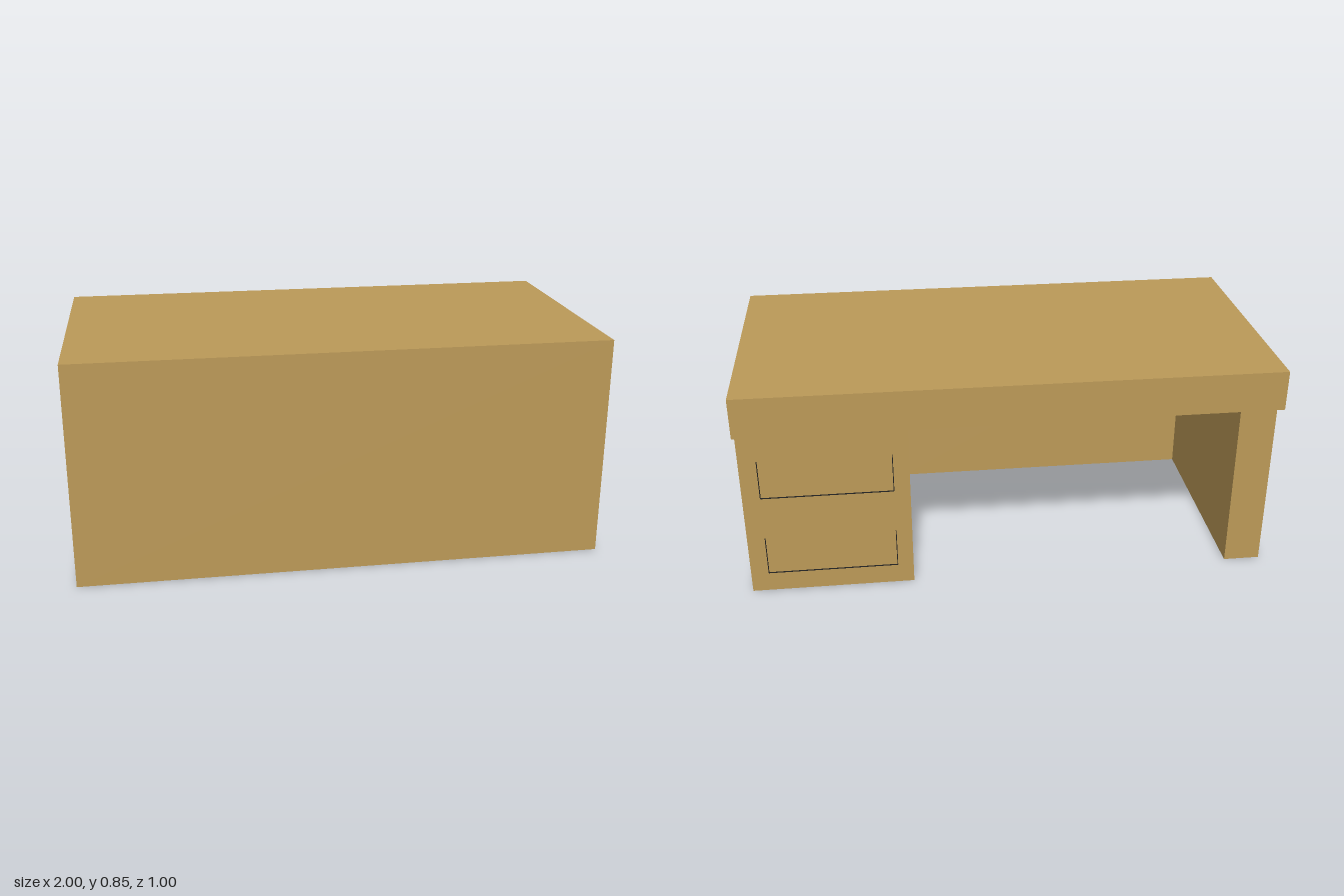
import * as THREE from 'three';

const H = 0.853;      // desk height
const APRON = 0.7;    // underside of the top band
const BACK = -0.428;  // sitting side of the pedestal and the leg
const PED = 0.382;    // inner wall of the pedestal
const LEG = -0.86;    // inner wall of the leg
const PANEL = 0.395;  // inner panel of the knee space

export function createModel() {
  const desk = new THREE.Group();
  desk.name = 'desk';
  const wood = new THREE.MeshStandardMaterial({ color: 0xbc9a58, side: THREE.DoubleSide });
  wood.name = 'wood';
  const dark = new THREE.MeshStandardMaterial({ color: 0x222222 });
  dark.name = 'dark trim';

  const add = (name, geometry, material = wood, parent = desk) => {
    const mesh = new THREE.Mesh(geometry, material);
    mesh.name = name;
    parent.add(mesh);
    return mesh;
  };

  // Upright sheet from (x1, z1) to (x2, z2); its front is on the right-hand side of that path
  const wall = (name, x1, z1, x2, z2, y0, y1) => {
    const mesh = add(name, new THREE.PlaneGeometry(Math.hypot(x2 - x1, z2 - z1), y1 - y0));
    mesh.position.set((x1 + x2) / 2, (y0 + y1) / 2, (z1 + z2) / 2);
    mesh.rotation.y = Math.atan2(z1 - z2, x2 - x1);
  };

  // Hollow outer shell, open underneath
  const top = add('desktop', new THREE.PlaneGeometry(2, 1).rotateX(-Math.PI / 2));
  top.position.y = H;
  wall('frontPanel', -1, 0.5, 1, 0.5, 0, H);
  wall('backApron', 1, -0.5, -1, -0.5, APRON, H);

  // Side sheets, stepped where the top overhangs
  const outline = [[-0.5, 0], [-BACK, 0], [-BACK, APRON], [0.5, APRON], [0.5, H], [-0.5, H]];
  const sideShape = new THREE.Shape(outline.map(([a, b]) => new THREE.Vector2(a, b)));
  for (const s of [1, -1]) {
    const side = add(s > 0 ? 'leftSide' : 'rightSide',
      new THREE.ShapeGeometry(sideShape).rotateY(Math.PI / 2));
    side.position.x = s;
  }

  // Drawer pedestal, narrow leg and knee space
  wall('pedestalBack', 1, BACK, PED, BACK, 0, APRON);
  wall('pedestalInnerWall', PED, BACK, PED, 0.5, 0, APRON);
  wall('legBack', LEG, BACK, -1, BACK, 0, APRON);
  wall('legInnerWall', LEG, 0.5, LEG, BACK, 0, APRON);
  wall('kneePanel', PED, PANEL, LEG, PANEL, 0, APRON);

  // Hairline drawer outlines
  const t = 0.003, xa = 0.443, xb = 0.933, rise = 0.155;
  for (const y of [0.08, 0.41]) {
    const drawer = new THREE.Group();
    drawer.name = 'drawerOutline';
    drawer.position.set(0, y, BACK - t / 2);
    add('lowerLine', new THREE.BoxGeometry(xb - xa, t, t), dark, drawer).position.x = (xa + xb) / 2;
    for (const x of [xa, xb]) {
      add('sideLine', new THREE.BoxGeometry(t, rise, t), dark, drawer).position.set(x, rise / 2, 0);
    }
    desk.add(drawer);
  }
  return desk;
}
